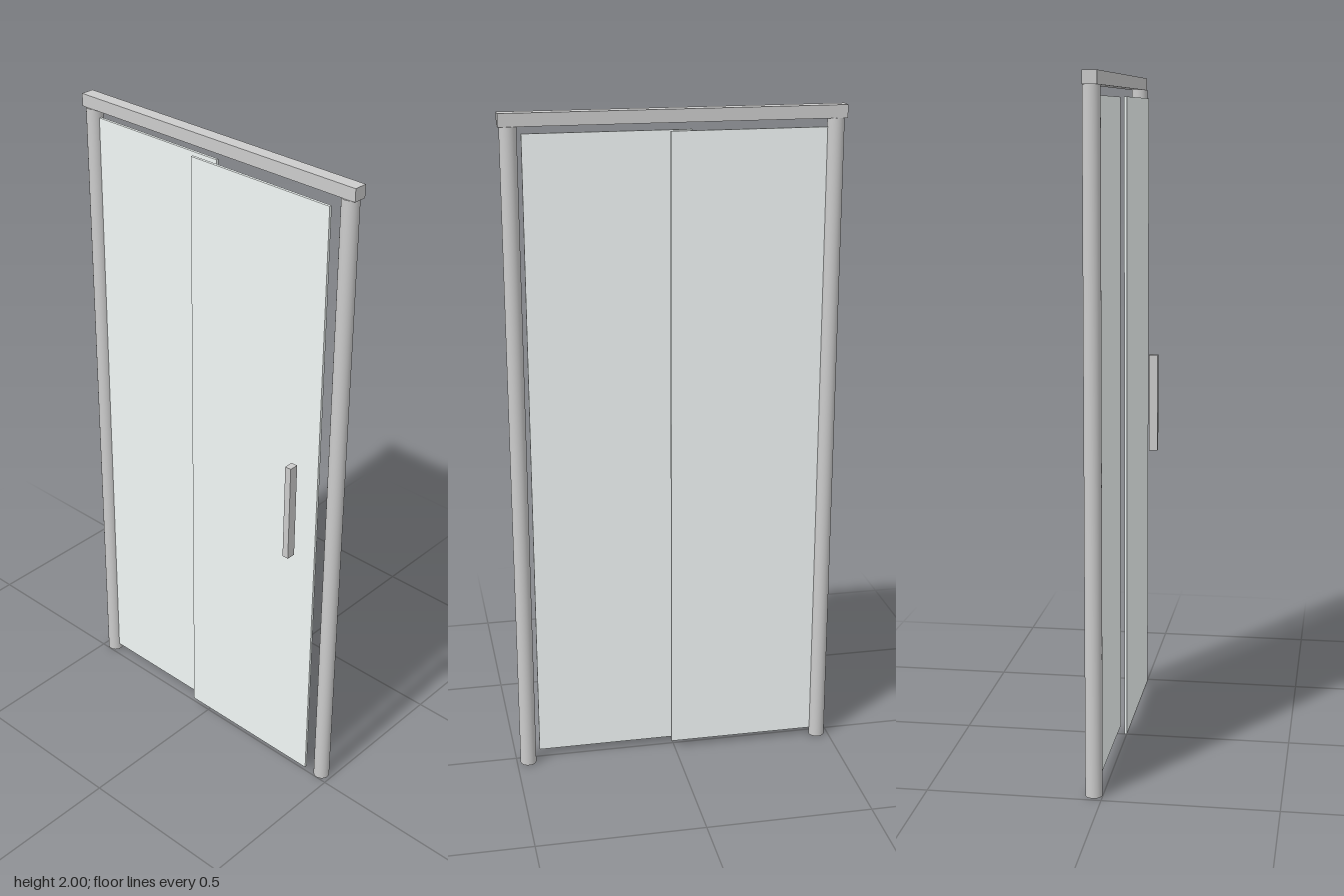
import * as THREE from 'three';

export function createModel() {
  const group = new THREE.Group();
  group.name = 'slidingGlassDoor';
  const metal = new THREE.MeshStandardMaterial({ color: 0xebebee });
  const glass = new THREE.MeshStandardMaterial({ color: 0xf1f7f6 });

  const add = (name, material, geometry, x, y, z) => {
    const mesh = new THREE.Mesh(geometry, material);
    mesh.name = name;
    mesh.position.set(x, y, z);
    group.add(mesh);
  };

  // Box given by its minimum and maximum on each axis
  const box = (name, material, [x0, x1], [y0, y1], [z0, z1]) =>
    add(name, material, new THREE.BoxGeometry(x1 - x0, y1 - y0, z1 - z0),
      (x0 + x1) / 2, (y0 + y1) / 2, (z0 + z1) / 2);

  // Round posts on either side
  const railBottom = 1.963;
  for (const [name, side] of [['leftPost', 1], ['rightPost', -1]]) {
    add(name, metal, new THREE.CylinderGeometry(0.0245, 0.0245, railBottom, 32),
      side * 0.465, railBottom / 2, -0.0255);
  }

  // Header rail across the posts
  box('topRail', metal, [-0.494, 0.494], [railBottom, 2], [-0.046, -0.006]);

  // Fixed pane between the posts, sliding pane in front of it
  const paneHeight = [0.023, 1.937];
  box('fixedPane', glass, [-0.445, 0.011], paneHeight, [-0.028, -0.02]);
  box('slidingPane', glass, [-0.056, 0.426], paneHeight, [0.001, 0.009]);

  // Upright bar handle standing off the sliding pane
  box('handle', metal, [0.341, 0.361], [0.828, 1.137], [0.022, 0.05]);

  return group;
}
